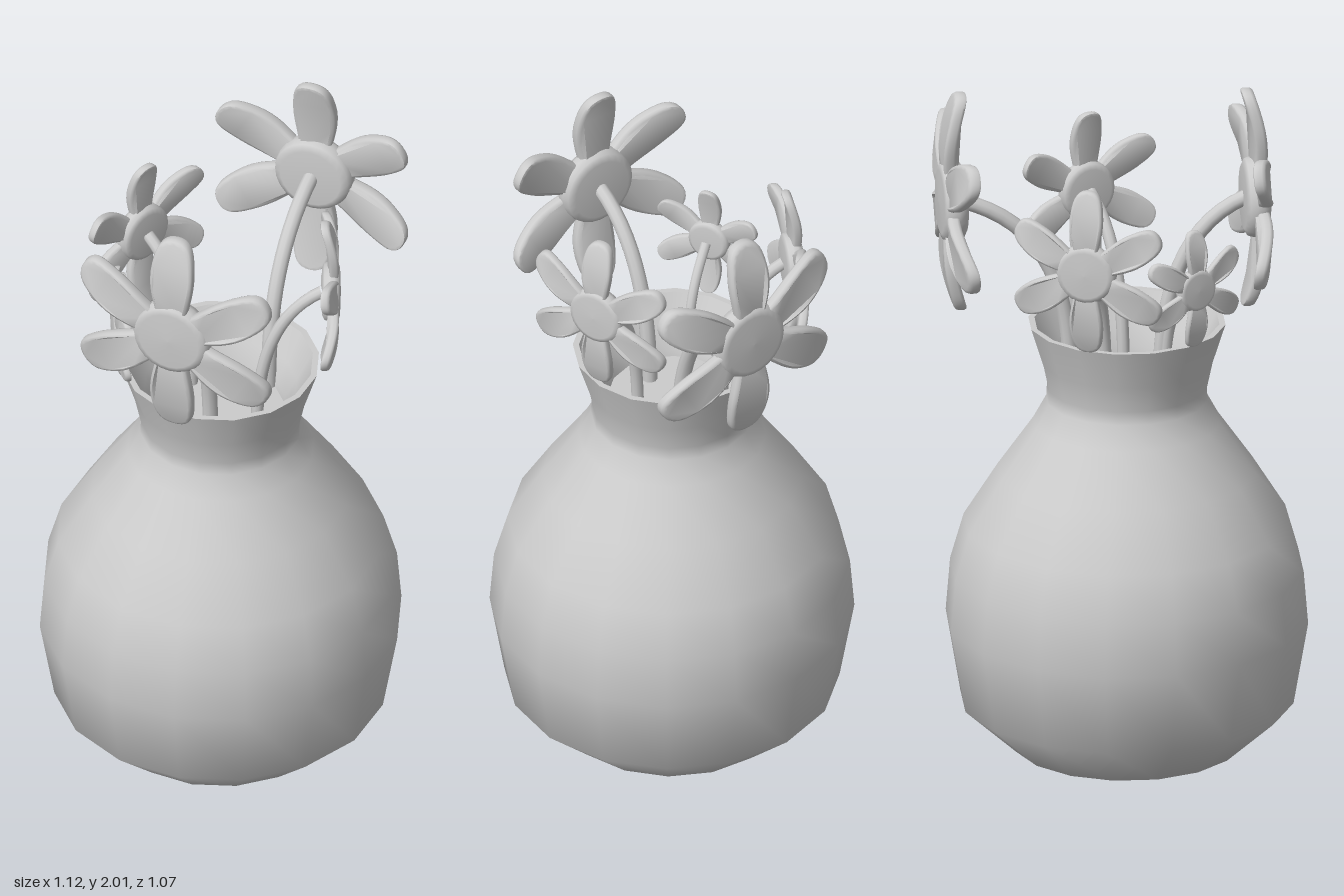
import * as THREE from 'three';
import { toCreasedNormals } from 'three/addons/utils/BufferGeometryUtils.js';

const material = new THREE.MeshStandardMaterial({ color: 0xcccccc });

function part(name, geometry) {
  const mesh = new THREE.Mesh(geometry, material);
  mesh.name = name;
  return mesh;
}

function lathe(name, profile) {
  return part(name, new THREE.LatheGeometry(profile.map(([r, y]) => new THREE.Vector2(r, y)), 16));
}

// Vase: smooth outside, flat lip, flaring inside and the flat surface in the neck
function createVase() {
  const vase = new THREE.Group();
  vase.name = 'vase';
  vase.add(
    lathe('vaseBody', [[0, 0], [0.335, 0], [0.49, 0.14], [0.533, 0.39], [0.52, 0.55], [0.48, 0.69],
      [0.38, 0.85], [0.275, 1.0], [0.237, 1.07], [0.235, 1.11], [0.252, 1.19], [0.29, 1.31]]),
    lathe('vaseLip', [[0.29, 1.31], [0.272, 1.31]]),
    lathe('vaseInside', [[0.272, 1.31], [0.225, 1.22], [0.19, 1.16], [0.185, 1.1]]),
    lathe('neckSurface', [[0.186, 1.14], [0, 1.14]]),
  );
  vase.position.x = -0.033;
  return vase;
}

// One petal of a unit-radius flower, pointing up and gently waved
function createPetalGeometry() {
  const shape = new THREE.Shape();
  shape.moveTo(-0.1, 0.2);
  shape.bezierCurveTo(-0.13, 0.4, -0.19, 0.55, -0.16, 0.75);
  shape.bezierCurveTo(-0.14, 0.92, -0.1, 0.97, 0, 0.97);
  shape.bezierCurveTo(0.1, 0.97, 0.14, 0.92, 0.16, 0.75);
  shape.bezierCurveTo(0.19, 0.55, 0.13, 0.4, 0.1, 0.2);
  const geometry = new THREE.ExtrudeGeometry(shape, {
    depth: 0.05, bevelEnabled: true, bevelThickness: 0.03, bevelSize: 0.03, bevelSegments: 2, curveSegments: 8,
  });
  geometry.translate(0, 0, -0.025);
  const p = geometry.attributes.position;
  for (let i = 0; i < p.count; i++) {
    const t = p.getY(i);
    p.setZ(i, p.getZ(i) + 0.07 * Math.sin(Math.PI * t) - 0.06 * t * t);
  }
  return toCreasedNormals(geometry, 0.9);
}

// Rounded button in the middle of the flower, facing +z
function createCentreGeometry() {
  const profile = [[0, -0.09], [0.28, -0.09], [0.34, -0.06], [0.36, 0], [0.36, 0.06], [0.33, 0.11], [0.28, 0.125], [0, 0.135]];
  const geometry = new THREE.LatheGeometry(profile.map(([r, y]) => new THREE.Vector2(r, y)), 24);
  return geometry.rotateX(Math.PI / 2);
}

// head: flower centre, normal: facing direction in x and z, base: stem foot in x and z
const flowers = [
  { head: [-0.215, 1.675, 0.325], normal: [-0.51, 0.86], base: [-0.075, 0.09], radius: 0.335 },
  { head: [0.295, 1.675, -0.385], normal: [0.49, -0.87], base: [0.12, -0.09], radius: 0.335 },
  { head: [-0.22, 1.58, -0.295], normal: [-0.58, -0.81], base: [-0.1, -0.13], radius: 0.25 },
  { head: [0.275, 1.605, 0.095], normal: [0.99, 0.14], base: [0.065, 0.065], radius: 0.247 },
  { head: [-0.333, 1.49, 0.017], normal: [-1, -0.03], base: [-0.185, 0.02], radius: 0.18 },
];

export function createModel() {
  const model = new THREE.Group();
  model.name = 'vaseWithFlowers';
  model.add(createVase());

  const petalGeometry = createPetalGeometry();
  const centreGeometry = createCentreGeometry();

  for (const { head, normal, base, radius } of flowers) {
    const flower = new THREE.Group();
    flower.name = 'flower';
    const centre = new THREE.Vector3(...head);
    const facing = new THREE.Vector3(normal[0], 0, normal[1]).normalize();

    // Blossom with six petals
    const blossom = new THREE.Group();
    blossom.name = 'blossom';
    blossom.add(part('flowerCentre', centreGeometry));
    for (let i = 0; i < 6; i++) {
      const petal = part('petal', petalGeometry);
      petal.rotation.z = (i * Math.PI) / 3;
      blossom.add(petal);
    }
    blossom.scale.setScalar(radius);
    blossom.position.copy(centre);
    blossom.lookAt(centre.clone().add(facing));

    // Stem rising from the neck and bending outward into the back of the blossom
    const curve = new THREE.CubicBezierCurve3(
      new THREE.Vector3(base[0], 1.1, base[1]),
      new THREE.Vector3(base[0], 1.35, base[1]),
      new THREE.Vector3(base[0], head[1] - 0.08, base[1]).addScaledVector(facing, 0.05),
      centre.clone().addScaledVector(facing, -0.02),
    );
    flower.add(blossom, part('stem', new THREE.TubeGeometry(curve, 16, 0.006 + radius * 0.05, 10)));
    model.add(flower);
  }
  return model;
}
